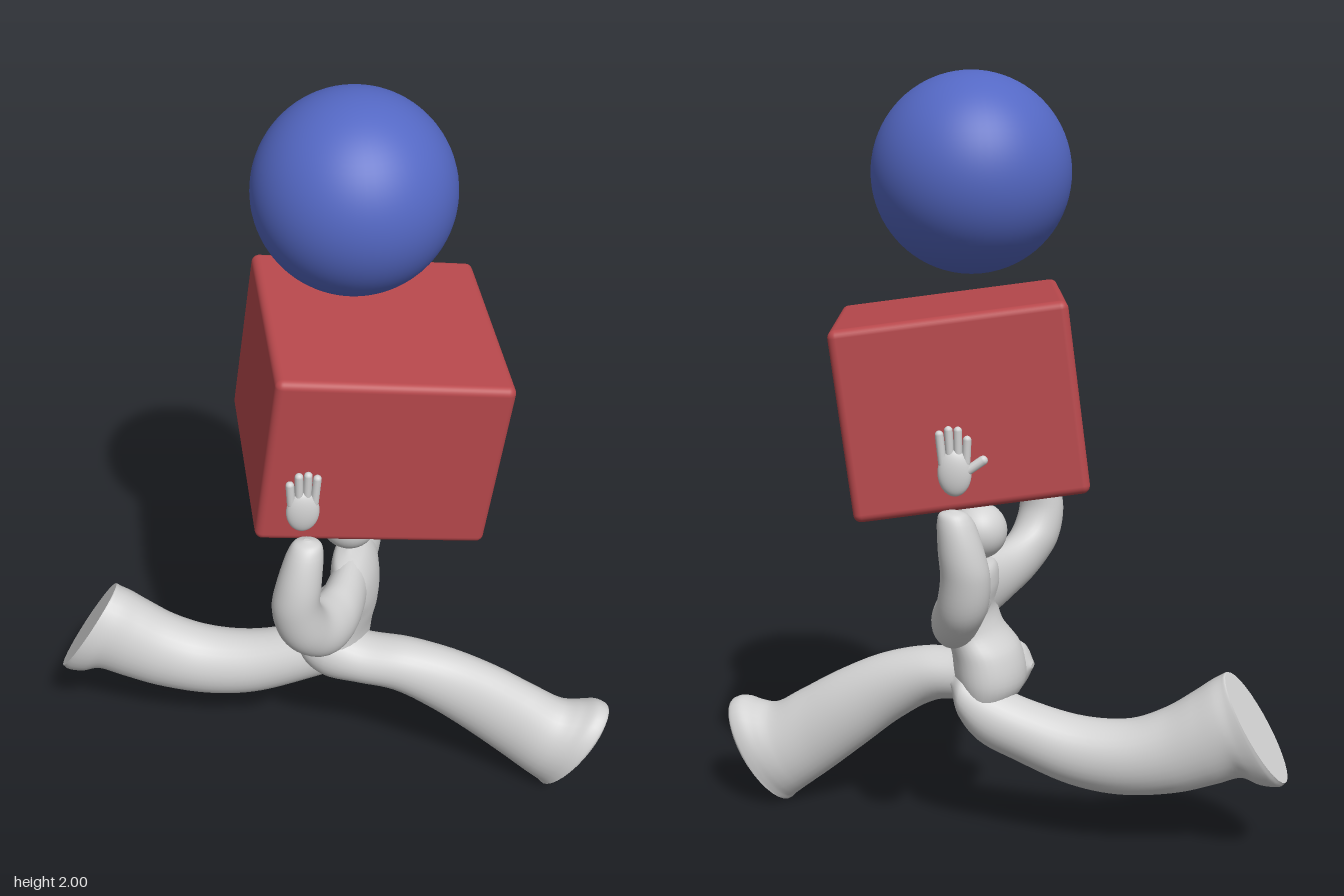
import * as THREE from 'three';
import { RoundedBoxGeometry } from 'three/addons/geometries/RoundedBoxGeometry.js';

const mat = (name, color) => {
  const m = new THREE.MeshStandardMaterial({ color });
  m.name = name;
  return m;
};

// Smooth skin through cross-sections { a, b, w }: a and b are opposite edge
// points of an ellipse, w is its half width along the side vector.
function loft(sections, side, capEnd = false, steps = 6, n = 32) {
  const curve = (f) => new THREE.CatmullRomCurve3(sections.map(f));
  const ca = curve((s) => s.a);
  const cb = curve((s) => s.b);
  const cw = curve((s, i) => new THREE.Vector3(s.w, i * 0.05, 0));
  const rows = (sections.length - 1) * steps;
  const rings = [];
  for (let i = 0; i <= rows; i++) {
    const t = i / rows;
    const a = ca.getPoint(t), b = cb.getPoint(t);
    rings.push({
      c: a.clone().add(b).multiplyScalar(0.5),
      u: a.clone().sub(b).multiplyScalar(0.5),
      w: cw.getPoint(t).x,
    });
  }
  // keep the faces pointing outward whatever the travel direction
  const m = Math.floor(rows / 2);
  const travel = rings[m + 1].c.clone().sub(rings[m].c);
  const s = side.clone();
  if (rings[m].u.clone().cross(s).dot(travel) < 0) s.negate();

  const pos = [], idx = [];
  const addRing = (r) => {
    for (let j = 0; j < n; j++) {
      const th = (j / n) * Math.PI * 2;
      const p = r.c.clone().addScaledVector(r.u, Math.cos(th)).addScaledVector(s, r.w * Math.sin(th));
      pos.push(p.x, p.y, p.z);
    }
  };
  rings.forEach(addRing);
  for (let i = 0; i < rows; i++) {
    for (let j = 0; j < n; j++) {
      const k = (j + 1) % n;
      const p = i * n + j, q = i * n + k;
      idx.push(p, q, p + n, q, q + n, p + n);
    }
  }
  // end caps with their own vertices so their rims stay sharp
  const cap = (r, last) => {
    const base = pos.length / 3;
    addRing(r);
    pos.push(r.c.x, r.c.y, r.c.z);
    for (let j = 0; j < n; j++) {
      const k = (j + 1) % n;
      if (last) idx.push(base + j, base + k, base + n);
      else idx.push(base + k, base + j, base + n);
    }
  };
  cap(rings[0], false);
  if (capEnd || sections[sections.length - 1].w > 0) cap(rings[rows], true);

  const g = new THREE.BufferGeometry();
  g.setAttribute('position', new THREE.Float32BufferAttribute(pos, 3));
  g.setIndex(idx);
  g.computeVertexNormals();
  return g;
}

// Section in the xy plane: two edge points, centre z and half width
const xy = ([ax, ay, bx, by, z, w]) => ({
  a: new THREE.Vector3(ax, ay, z), b: new THREE.Vector3(bx, by, z), w,
});
// Section in the yz plane: outer and inner edge points, centre x and half width
const zy = ([az, ay, bz, by, x, w]) => ({
  a: new THREE.Vector3(x, ay, az), b: new THREE.Vector3(x, by, bz), w,
});

export function createModel() {
  const model = new THREE.Group();
  const grey = mat('light grey', 0xd2d2d2);
  const red = mat('red', 0xb8484c);
  const blue = mat('blue', 0x5468c4);
  const X = new THREE.Vector3(1, 0, 0), Z = new THREE.Vector3(0, 0, 1);

  const add = (name, geo, material, x = 0, y = 0, z = 0, parent = model) => {
    const mesh = new THREE.Mesh(geo, material);
    mesh.name = name;
    mesh.position.set(x, y, z);
    parent.add(mesh);
    return mesh;
  };

  // Ball and tilted crate
  add('ball', new THREE.SphereGeometry(0.247, 64, 40), blue, 0.04, 1.753, -0.065);
  const box = add('box', new RoundedBoxGeometry(0.578, 0.472, 0.578, 4, 0.02), red, 0.08, 1.19, -0.04);
  box.rotation.set(0, 0.314, -0.134, 'ZYX');

  // Head and torso
  add('head', new THREE.SphereGeometry(0.075, 40, 28), grey, 0.045, 0.825, 0.003);
  add('torso', loft([
    [0.04, 0.30, 0.02, 0.31, -0.01, 0.02],
    [0.065, 0.34, -0.03, 0.35, -0.01, 0.085],
    [0.10, 0.43, -0.08, 0.42, 0, 0.125],
    [0.11, 0.50, -0.065, 0.51, 0, 0.122],
    [0.122, 0.56, -0.015, 0.57, 0, 0.115],
    [0.125, 0.62, 0.005, 0.62, 0, 0.13],
    [0.115, 0.68, 0.0, 0.68, 0, 0.14],
    [0.09, 0.722, 0.01, 0.725, 0, 0.11],
    [0.055, 0.74, 0.04, 0.74, 0, 0.02],
  ].map(xy), Z), grey);

  // Arms: one skin from hand to hand across the shoulders
  const arm = [
    [0.326, 1.0, 0.316, 1.0, -0.005, 0.008],
    [0.35, 0.99, 0.292, 0.988, -0.005, 0.034],
    [0.372, 0.96, 0.279, 0.955, -0.01, 0.046],
    [0.398, 0.88, 0.287, 0.88, -0.022, 0.056],
    [0.403, 0.80, 0.288, 0.815, -0.03, 0.061],
    [0.378, 0.69, 0.262, 0.765, -0.015, 0.066],
    [0.305, 0.61, 0.21, 0.738, 0.02, 0.066],
    [0.20, 0.575, 0.15, 0.732, 0.045, 0.06],
  ];
  const backShift = [0.04, 0.038, 0.028, 0.01, 0, 0, 0, 0];
  const farArm = arm.map(([az, ay, bz, by, x, w], i) =>
    [-az - backShift[i], ay - backShift[i] * 0.6, -bz - backShift[i], by - backShift[i] * 0.6, x, w]).reverse();
  add('arms', loft([...arm, [0, 0.565, 0, 0.735, 0.055, 0.05], ...farArm].map(zy), X), grey);

  // Legs in mid stride, each ending in a flat sole
  add('frontLeg', loft([
    [-0.088, 0.455, -0.088, 0.44, 0.06, 0.015],
    [-0.055, 0.505, -0.055, 0.38, 0.06, 0.06],
    [0.0, 0.51, 0.0, 0.345, 0.063, 0.075],
    [0.10, 0.477, 0.09, 0.338, 0.063, 0.076],
    [0.22, 0.47, 0.18, 0.325, 0.06, 0.076],
    [0.34, 0.44, 0.28, 0.265, 0.05, 0.077],
    [0.46, 0.385, 0.38, 0.183, 0.035, 0.078],
    [0.57, 0.32, 0.48, 0.1, 0.025, 0.083],
    [0.65, 0.275, 0.55, 0.045, 0.02, 0.094],
    [0.70, 0.277, 0.575, 0.025, 0.018, 0.1],
    [0.745, 0.285, 0.59, 0.012, 0.018, 0.104],
    [0.772, 0.272, 0.597, 0.004, 0.018, 0.105],
    [0.77, 0.25, 0.60, 0.002, 0.018, 0.104],
  ].map(xy), Z, true), grey);
  add('backLeg', loft([
    [0.095, 0.44, 0.095, 0.41, -0.06, 0.025],
    [0.055, 0.46, 0.07, 0.335, -0.06, 0.07],
    [-0.02, 0.42, 0.02, 0.272, -0.055, 0.077],
    [-0.12, 0.38, -0.08, 0.222, -0.042, 0.08],
    [-0.25, 0.35, -0.22, 0.168, -0.028, 0.086],
    [-0.37, 0.355, -0.35, 0.151, -0.018, 0.09],
    [-0.46, 0.392, -0.50, 0.168, -0.005, 0.092],
    [-0.53, 0.44, -0.60, 0.2, 0.005, 0.096],
    [-0.575, 0.474, -0.67, 0.224, 0.012, 0.1],
    [-0.60, 0.49, -0.72, 0.208, 0.015, 0.103],
    [-0.608, 0.495, -0.765, 0.21, 0.015, 0.105],
    [-0.612, 0.495, -0.778, 0.222, 0.015, 0.105],
  ].map(xy), Z, true), grey);

  // Hands pressed flat on the sides of the crate
  const hand = (name, x, y, z, hasThumb) => {
    const g = new THREE.Group();
    g.name = name;
    g.position.set(x, y, z);
    g.rotation.set(0, 0.314, -0.03);
    add('palm', new THREE.SphereGeometry(1, 28, 20), grey, 0, -0.015, 0, g).scale.set(0.041, 0.058, 0.02);
    [0.055, 0.078, 0.08, 0.07].forEach((len, i) => {
      const f = i - 1.5;
      const finger = add('finger', new THREE.CapsuleGeometry(0.0105, len, 6, 12), grey, f * 0.0205, 0.01 + len / 2, 0, g);
      finger.rotation.z = -f * 0.05;
    });
    if (hasThumb) {
      const thumb = add('thumb', new THREE.CapsuleGeometry(0.012, 0.05, 6, 12), grey, -0.048, 0.0, 0, g);
      thumb.rotation.z = 1.0;
    }
    model.add(g);
  };
  hand('frontHand', -0.018, 1.088, 0.304, false);
  hand('backHand', 0.0, 1.075, -0.333, true);

  return model;
}
